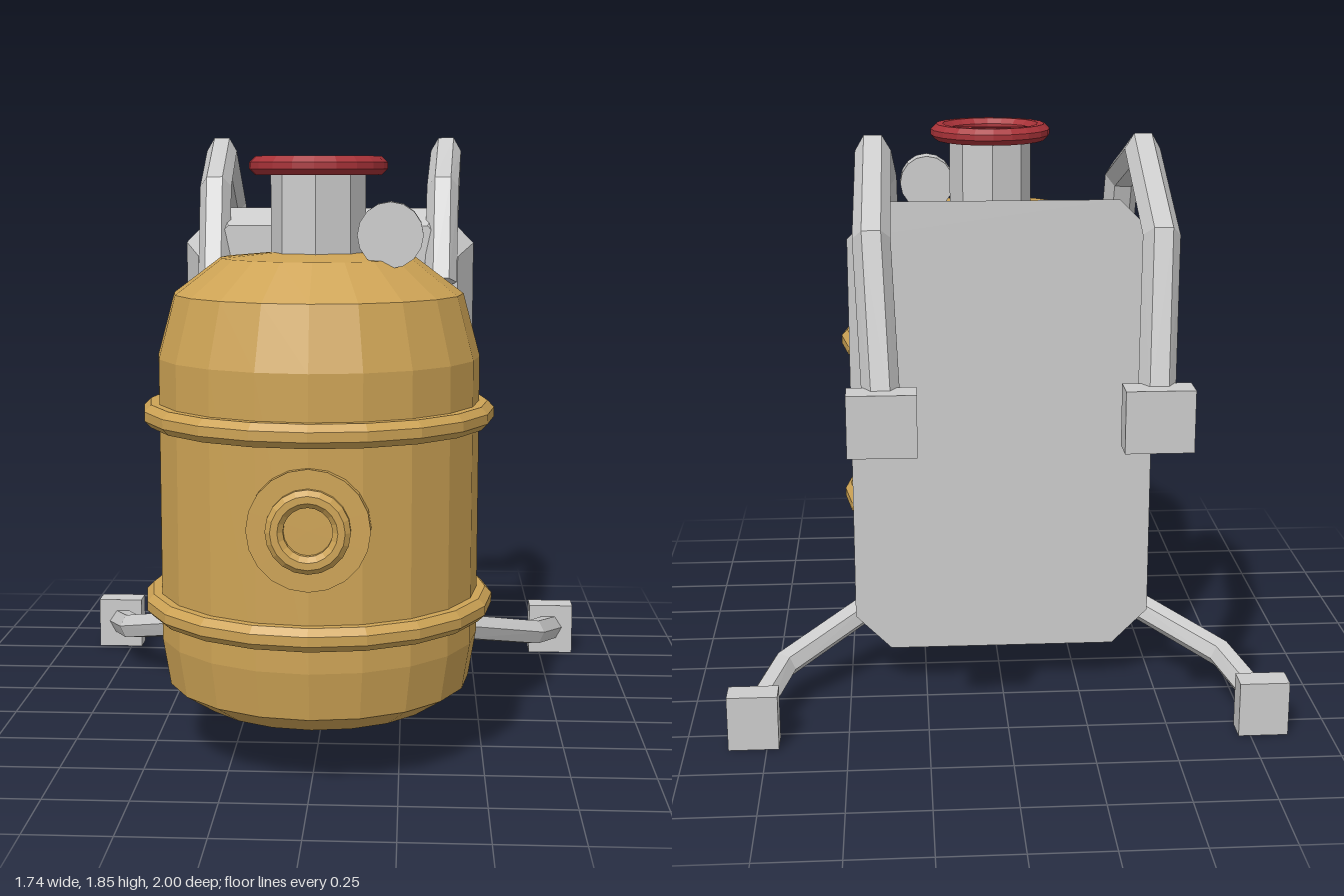
import * as THREE from 'three';
import { ConvexGeometry } from 'three/addons/geometries/ConvexGeometry.js';
import { mergeGeometries } from 'three/addons/utils/BufferGeometryUtils.js';

const V = (x, y, z) => new THREE.Vector3(x, y, z);
const TANK_Z = 0.475;

export function createModel() {
  const model = new THREE.Group();
  const mat = (color) => new THREE.MeshStandardMaterial({ color, flatShading: true });
  const gold = mat(0xcda355), red = mat(0xa83238), grey = mat(0xcccccc);

  function add(name, geometry, material, x = 0, y = 0, z = 0) {
    const mesh = new THREE.Mesh(geometry, material);
    mesh.name = name;
    mesh.position.set(x, y, z);
    model.add(mesh);
    return mesh;
  }
  const lathe = (pts, sides) => new THREE.LatheGeometry(pts.map((p) => new THREE.Vector2(...p)), sides);

  // Closed ring with bevelled outer and inner edges, centred on y = 0
  function ring(inner, outer, height, bevel, sides) {
    const h = height / 2, k = h - bevel;
    return lathe([
      [inner, -k], [inner + bevel, -h], [outer - bevel, -h], [outer, -k],
      [outer, k], [outer - bevel, h], [inner + bevel, h], [inner, k], [inner, -k],
    ], sides);
  }

  // Six-sided bent bar through a list of points, one hull per straight piece
  function bentBar(points, radius) {
    const side = V(1, 0, 0);
    const rings = points.map((p, i) => {
      const before = points[Math.max(i - 1, 0)], after = points[Math.min(i + 1, points.length - 1)];
      const dir = after.clone().sub(before).normalize();
      const u = side.clone().addScaledVector(dir, -side.dot(dir)).normalize();
      const v = dir.clone().cross(u);
      return Array.from({ length: 6 }, (_, k) => {
        const a = (k * Math.PI) / 3;
        return p.clone().addScaledVector(u, radius * Math.cos(a)).addScaledVector(v, radius * Math.sin(a));
      });
    });
    return mergeGeometries(rings.slice(1).map((r, i) => new ConvexGeometry([...rings[i], ...r])));
  }

  // Tank body and its two bands
  add('tank', lathe([
    [0, 0.16], [0.366, 0.16], [0.457, 0.22], [0.48, 0.36], [0.48, 1.2],
    [0.43, 1.385], [0.29, 1.49], [0.13, 1.505], [0, 1.505],
  ], 20), gold, 0, 0, TANK_Z);
  for (const [name, y] of [['lowerBand', 0.465], ['upperBand', 1.033]]) {
    add(name, ring(0.45, 0.525, 0.068, 0.02, 20), gold, 0, y, TANK_Z);
  }

  // Round port on the front: backing plate and raised rim
  const plate = new THREE.CylinderGeometry(0.172, 0.172, 0.06, 20).rotateX(Math.PI / 2);
  add('portPlate', plate, gold, 0, 0.77, 0.94);
  add('portRim', ring(0.068, 0.118, 0.06, 0.015, 20).rotateX(Math.PI / 2), gold, 0, 0.77, 0.97);

  // Neck, hand wheel and gauge
  add('neck', new THREE.CylinderGeometry(0.14, 0.14, 0.25, 8), grey, 0, 1.61, TANK_Z);
  add('wheelRim', ring(0.145, 0.204, 0.055, 0.018, 20), red, 0, 1.758, TANK_Z);
  add('wheelBar', new THREE.BoxGeometry(0.31, 0.03, 0.042), red, 0, 1.757, TANK_Z);
  add('gauge', new THREE.CylinderGeometry(0.094, 0.094, 0.085, 16).rotateX(Math.PI / 2), grey, 0.216, 1.563, 0.645);

  // Back panel: octagon that narrows toward the tank
  const octagon = (w, h, cut, z) => [-1, 1].flatMap((sx) => [-1, 1].flatMap((sy) => [
    V(sx * w, 0.88 + sy * (h - cut), z), V(sx * (w - cut), 0.88 + sy * h, z),
  ]));
  add('backPanel', new ConvexGeometry([
    ...octagon(0.48, 0.74, 0.115, -0.18), ...octagon(0.425, 0.685, 0.1, -0.05),
  ]), grey);

  // Shoulder arms and lower arms, each with an end block
  for (const [side, s] of [['left', 1], ['right', -1]]) {
    add(side + 'ShoulderArm', bentBar([
      V(s * 0.37, 1.385, -0.02), V(s * 0.375, 1.69, -0.13), V(s * 0.39, 1.81, -0.45),
      V(s * 0.395, 1.62, -0.81), V(s * 0.375, 1.17, -0.92),
    ], 0.052), grey);
    add(side + 'ShoulderBlock', new THREE.BoxGeometry(0.19, 0.175, 0.085), grey, s * 0.375, 1.143, -0.957);
    add(side + 'LowerArm', bentBar([
      V(s * 0.45, 0.225, -0.04), V(s * 0.71, 0.14, -0.29), V(s * 0.79, 0.09, -0.54),
    ], 0.045), grey);
    add(side + 'LowerBlock', new THREE.BoxGeometry(0.155, 0.175, 0.082), grey, s * 0.79, 0.0875, -0.56);
  }
  return model;
}
